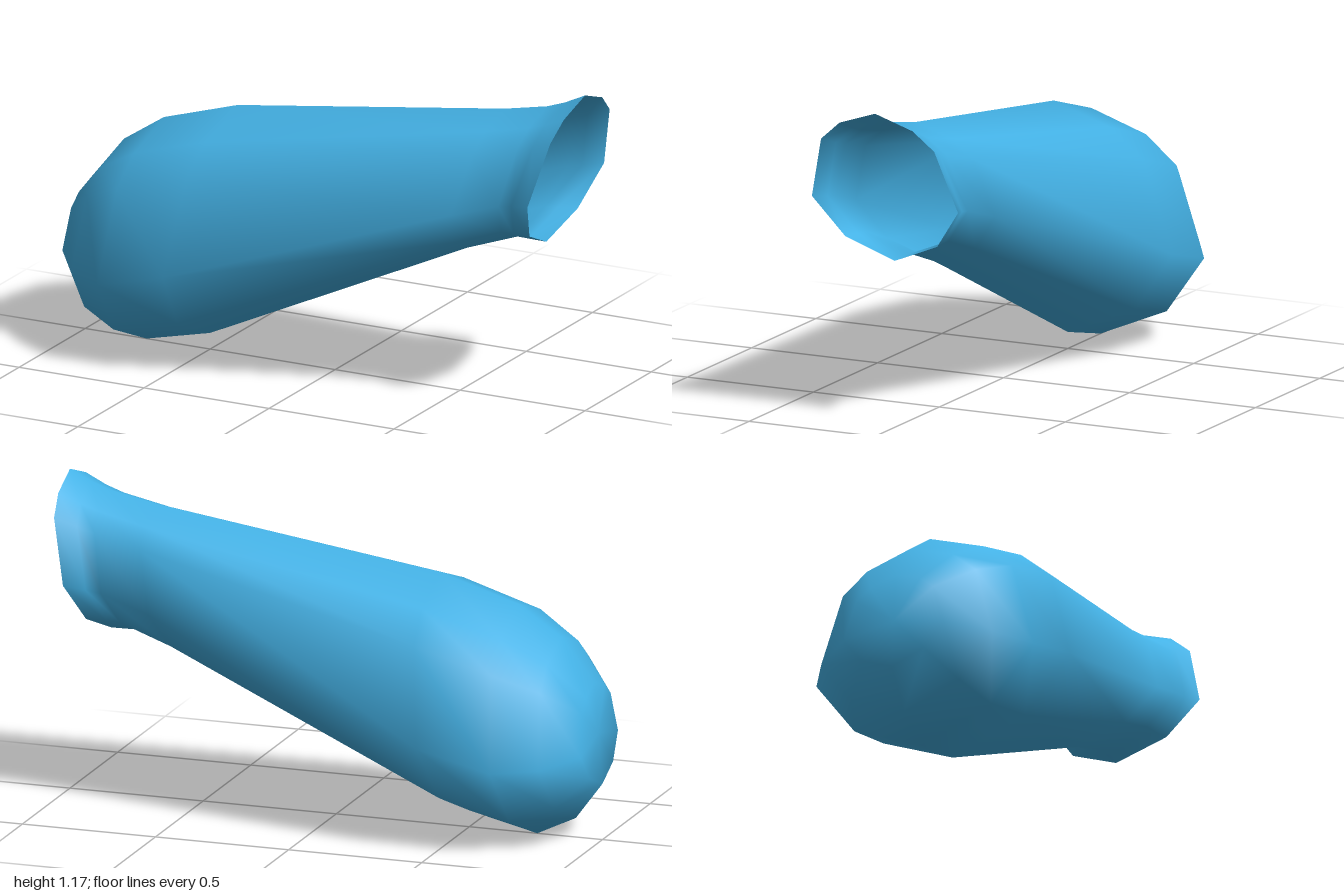
import * as THREE from 'three';

// Rings along the sleeve: top x, top y, bottom x, bottom y, half width, forward bow
const RINGS = [
  [-0.97, 0.58, -1.0, 0.21, 0.195, 0],
  [-0.845, 0.735, -0.9, 0.075, 0.335, 0],
  [-0.685, 0.84, -0.755, 0.005, 0.425, 0],
  [-0.39, 0.93, -0.5, 0.065, 0.44, 0],
  [0.68, 1.08, 0.53, 0.54, 0.275, 0.02],
  [0.85, 1.115, 0.73, 0.612, 0.262, 0.015],
  [0.92, 1.14, 0.775, 0.611, 0.267, 0.015],
  [1.0, 1.178, 0.845, 0.61, 0.29, 0.018],
];

// Half of the ten-sided section, bottom to top: width factor, height factor
const HALF = [[0, 0], [0.63, 0.135], [1, 0.39], [0.775, 0.79], [0.5, 0.912], [0, 1]];
const SECTION = [...HALF, ...HALF.slice(1, -1).reverse().map(([w, t]) => [-w, t])];

function loftGeometry() {
  const n = SECTION.length;
  const positions = [];
  const index = [];
  for (const [tx, ty, bx, by, half, bow] of RINGS) {
    for (const [w, t] of SECTION) {
      positions.push(
        THREE.MathUtils.lerp(bx, tx, t) + bow * 4 * t * (1 - t),
        THREE.MathUtils.lerp(by, ty, t),
        w * half,
      );
    }
  }
  for (let i = 0; i < RINGS.length - 1; i++) {
    for (let j = 0; j < n; j++) {
      const k = (j + 1) % n;
      const a = i * n + j, b = i * n + k, c = a + n, d = b + n;
      index.push(a, c, b, b, c, d);
    }
  }
  // Closed rounded end
  const centre = positions.length / 3;
  const [tx, ty, bx, by] = RINGS[0];
  positions.push((tx + bx) / 2, (ty + by) / 2, 0);
  for (let j = 0; j < n; j++) index.push(centre, j, (j + 1) % n);

  const geometry = new THREE.BufferGeometry();
  geometry.setAttribute('position', new THREE.Float32BufferAttribute(positions, 3));
  geometry.setIndex(index);
  geometry.computeVertexNormals();
  return geometry;
}

export function createModel() {
  const group = new THREE.Group();
  const material = new THREE.MeshStandardMaterial({ color: 0x44b2e6, side: THREE.DoubleSide });
  // Hollow tapered shell, open at the flared rim
  const shell = new THREE.Mesh(loftGeometry(), material);
  shell.name = 'taperedShell';
  group.add(shell);
  return group;
}
